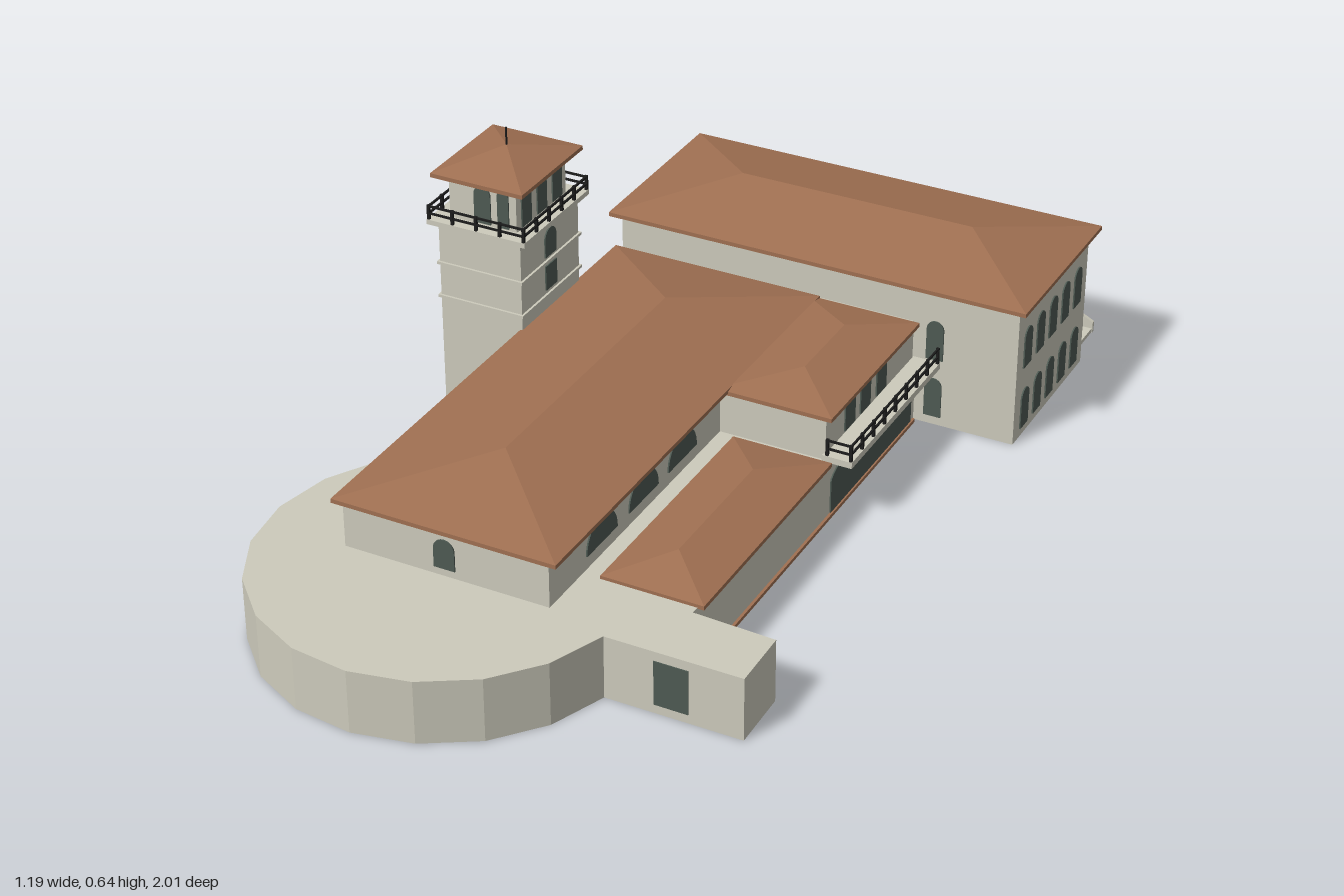
import * as THREE from 'three';
import { ConvexGeometry } from 'three/addons/geometries/ConvexGeometry.js';

const mat = (name, color) => new THREE.MeshStandardMaterial({ name, color });
const V = (x, y, z) => new THREE.Vector3(x, y, z);

export function createModel() {
  const root = new THREE.Group();
  root.name = 'villa';
  const site = new THREE.Group();
  site.name = 'site';
  site.rotation.y = -0.056; // the whole plan sits slightly askew
  site.position.set(0.005, 0, 0.004);
  root.add(site);

  const stone = mat('stone', 0xcdcbbc);
  const tile = mat('roof tile', 0xa07052);
  const glass = mat('dark glass', 0x4e5a53);
  const iron = mat('iron', 0x1c1c1c);

  const add = (name, geometry, material, parent = site) => {
    const m = new THREE.Mesh(geometry, material);
    m.name = name;
    parent.add(m);
    return m;
  };
  const box = (name, x0, x1, y0, y1, z0, z1, material) =>
    add(name, new THREE.BoxGeometry(x1 - x0, y1 - y0, z1 - z0), material)
      .position.set((x0 + x1) / 2, (y0 + y1) / 2, (z0 + z1) / 2);

  // Plan points are [x, z]; extrude a plan upward from y0 to y1
  const path = (pts) => pts.map(([x, z]) => new THREE.Vector2(x, -z));
  const prism = (name, pts, y0, y1, hole) => {
    const s = new THREE.Shape(path(pts));
    if (hole) s.holes.push(new THREE.Path(path(hole)));
    const g = new THREE.ExtrudeGeometry(s, { depth: y1 - y0, bevelEnabled: false });
    add(name, g.rotateX(-Math.PI / 2).translate(0, y0, 0), stone);
  };
  // Mitred inward offset of a plan
  const inset = (pts, t) => {
    const n = pts.length;
    const sign = Math.sign(pts.reduce((a, [x, z], i) => {
      const [u, w] = pts[(i + 1) % n];
      return a + x * w - u * z;
    }, 0));
    const normal = (a, b) => {
      const dx = b[0] - a[0], dz = b[1] - a[1], l = Math.hypot(dx, dz) * sign;
      return [-dz / l, dx / l];
    };
    return pts.map((p, i) => {
      const a = normal(pts[(i + n - 1) % n], p), b = normal(p, pts[(i + 1) % n]);
      const k = t / (1 + a[0] * b[0] + a[1] * b[1]);
      return [p[0] + (a[0] + b[0]) * k, p[1] + (a[1] + b[1]) * k];
    });
  };
  // Thin walls, open below, closed by a ceiling; the hole runs opposite to the outline
  const shell = (name, pts, h, ceiling = h) => {
    const inner = inset(pts, 0.012).reverse();
    prism(name + 'Walls', pts, 0, h, inner);
    prism(name + 'Ceiling', inner, ceiling - 0.01, ceiling);
  };
  const rect = (x0, x1, z0, z1) => [[x0, z0], [x1, z0], [x1, z1], [x0, z1]];

  // Hipped roof with a thin eave; ridge is a list of [x, z]
  const hip = (name, x0, x1, z0, z1, y, top, ridge) => {
    const p = ridge.map(([x, z]) => V(x, top, z));
    for (const [x, z] of rect(x0, x1, z0, z1)) p.push(V(x, y, z), V(x, y + 0.009, z));
    add(name, new ConvexGeometry(p), tile);
  };

  // Window plate; rise is the height of the arched head
  const FRONT = 0, RIGHT = Math.PI / 2, LEFT = -Math.PI / 2, BACK = Math.PI;
  const win = (name, x, y, z, turn, w, h, rise = w / 2) => {
    const s = new THREE.Shape();
    s.moveTo(-w / 2, 0).lineTo(w / 2, 0).lineTo(w / 2, h - rise);
    if (rise) s.absellipse(0, h - rise, w / 2, rise, 0, Math.PI, false);
    else s.lineTo(-w / 2, h);
    const g = new THREE.ExtrudeGeometry(s, { depth: 0.005, bevelEnabled: false, curveSegments: 10 });
    const m = add(name, g.translate(0, 0, -0.002), glass);
    m.position.set(x, y, z);
    m.rotation.y = turn;
  };

  // Railing along a plan path
  const railing = (name, pts, y, h) => {
    const group = new THREE.Group();
    group.name = name;
    site.add(group);
    const bar = (a, b, r) => {
      const d = b.clone().sub(a);
      const m = add('railBar', new THREE.BoxGeometry(r, r, d.length() + r), iron, group);
      m.position.copy(a).add(b).multiplyScalar(0.5);
      m.quaternion.setFromUnitVectors(V(0, 0, 1), d.normalize());
    };
    for (let i = 0; i + 1 < pts.length; i++) {
      const [a, b] = [pts[i], pts[i + 1]].map(([x, z]) => V(x, 0, z));
      for (const f of [0.45, 1]) {
        const up = V(0, y + h * f, 0);
        bar(a.clone().add(up), b.clone().add(up), 0.004);
      }
      const n = Math.max(1, Math.round(a.distanceTo(b) / 0.05));
      for (let k = 0; k <= n; k++) {
        const p = a.clone().lerp(b, k / n);
        bar(p.clone().setY(y), p.clone().setY(y + h), 0.006);
      }
    }
  };

  // Podium: round terrace, entry block and base of the side wings
  const arc = (cx, cz, r, a0, a1, n) => Array.from({ length: n + 1 }, (_, i) => {
    const a = THREE.MathUtils.degToRad(a0 + (a1 - a0) * i / n);
    return [cx + r * Math.cos(a), cz + r * Math.sin(a)];
  });
  shell('podium', [[0.476, 0.704], [0.474, 0.572], [0.302, 0.565], [0.302, -0.435], [-0.37, -0.435],
    [-0.37, 0.207], [-0.486, 0.207], ...arc(-0.181, 0.626, 0.382, 219, 12, 11)], 0.136);
  win('entryDoor', 0.33, 0.02, 0.704, FRONT, 0.07, 0.096, 0);
  box('baseStrip', 0.29, 0.308, 0, 0.008, -0.43, 0.555, tile);

  // Rear block
  shell('rearBlock', rect(-0.385, 0.523, -0.822, -0.44), 0.316, 0.136);
  hip('rearRoof', -0.407, 0.543, -0.842, -0.42, 0.315, 0.371, [[-0.195, -0.631], [0.335, -0.631]]);
  for (let i = -2; i <= 2; i++) for (const y of [0.02, 0.165]) {
    win('endWindow', 0.523, y, -0.631 + i * 0.069, RIGHT, 0.04, 0.09);
    win('endWindow', -0.385, y, -0.631 + i * 0.069, LEFT, 0.04, 0.09);
  }
  for (const [x, y] of [[0.345, 0.145], [0.14, 0.143], [-0.04, 0.158], [-0.22, 0.158]])
    win('rearWindow', x, y, -0.822, BACK, 0.036, 0.085);
  for (const y of [0.02, 0.155]) win('innerWindow', 0.342, y, -0.44, FRONT, 0.038, 0.09);
  shell('rearApse', arc(-0.224, -0.831, 0.167, 180, 360, 8), 0.136);

  // Main hall
  shell('mainHall', rect(-0.378, 0.063, -0.43, 0.672), 0.241);
  hip('hallRoof', -0.391, 0.089, -0.42, 0.692, 0.24, 0.298, [[-0.151, -0.19], [-0.151, 0.455]]);
  win('hallFrontWindow', -0.159, 0.153, 0.672, FRONT, 0.045, 0.064);
  for (const z of [0.475, 0.31, 0.15]) win('hallArchWindow', 0.063, 0.165, z, RIGHT, 0.118, 0.062);
  for (const z of [0.39, -0.31]) win('hallSideWindow', -0.378, 0.165, z, LEFT, 0.045, 0.064);

  // Upper side wing with balcony and wide arch below
  prism('upperWing', rect(0.05, 0.295, -0.435, -0.015), 0.13, 0.236);
  hip('upperWingRoof', 0.06, 0.314, -0.42, 0.002, 0.235, 0.271, [[0.2, -0.3], [0.2, -0.115]]);
  for (const z of [-0.124, -0.197, -0.274]) win('wingWindow', 0.295, 0.155, z, RIGHT, 0.047, 0.078);
  win('wideArch', 0.302, 0.009, -0.22, RIGHT, 0.39, 0.112, 0.04);
  box('balconySlab', 0.29, 0.355, 0.136, 0.15, -0.44, -0.008, stone);
  railing('balconyRailing', [[0.3, -0.012], [0.351, -0.012], [0.351, -0.435]], 0.15, 0.034);

  // Low side wing roof
  hip('lowWingRoof', 0.1, 0.316, 0, 0.548, 0.134, 0.171, [[0.208, 0.13], [0.208, 0.44]]);

  // Tower
  const tx = -0.48, tz = -0.131;
  const towerBox = (name, w, d, y0, y1, m) => box(name, tx - w / 2, tx + w / 2, y0, y1, tz - d / 2, tz + d / 2, m);
  shell('tower', rect(tx - 0.095, tx + 0.095, tz - 0.118, tz + 0.118), 0.452);
  for (const y of [0.283, 0.36]) towerBox('towerMoulding', 0.2, 0.246, y - 0.003, y + 0.003, stone);
  towerBox('towerPlatform', 0.228, 0.266, 0.45, 0.461, stone);
  const [hx, hz] = [0.11, 0.129];
  const ring = rect(tx - hx, tx + hx, tz - hz, tz + hz);
  railing('towerRailing', [...ring, ring[0]], 0.461, 0.029);
  towerBox('lookout', 0.155, 0.2, 0.46, 0.556, stone);
  hip('towerRoof', tx - 0.106, tx + 0.106, tz - 0.124, tz + 0.124, 0.554, 0.597, [[tx, tz]]);
  add('finial', new THREE.CylinderGeometry(0.002, 0.002, 0.045, 6), iron).position.set(tx, 0.613, tz);
  for (const s of [1, -1]) {
    for (const dz of [-0.062, 0, 0.062])
      win('lookoutWindow', tx + s * 0.0775, 0.465, tz + dz, s * RIGHT, 0.038, 0.083);
    win('towerWindow', tx + s * 0.095, 0.37, tz, s * RIGHT, 0.045, 0.062);
    win('towerWindow', tx + s * 0.095, 0.295, tz, s * RIGHT, 0.045, 0.055, 0);
    for (const [dx, w] of [[0, 0.038], [0.048, 0.026]])
      win('lookoutWindow', tx + dx * s, 0.465, tz + s * 0.1, s > 0 ? FRONT : BACK, w, 0.083);
  }

  // Outside stair behind the rear block, climbing toward -x
  const steps = 15, x0 = 0.2, x1 = 0.5, run = (x1 - x0) / steps, rise = 0.145 / steps;
  for (let i = 0; i < steps; i++) {
    const top = (steps - i) * rise;
    box('step', x0 + i * run, x0 + (i + 1) * run, Math.max(0, top - 2 * rise), top, -0.95, -0.853, stone);
  }
  box('landing', 0.14, x0, 0.13, 0.145, -0.95, -0.82, stone);
  const side = new THREE.Shape([[0.137, 0], [0.502, 0], [0.502, 0.025], [0.2, 0.178], [0.137, 0.178]]
    .map(([x, y]) => new THREE.Vector2(x, y)));
  for (const z of [-0.956, -0.856])
    add('stairWall', new THREE.ExtrudeGeometry(side, { depth: 0.008, bevelEnabled: false }), stone).position.z = z;

  return root;
}
